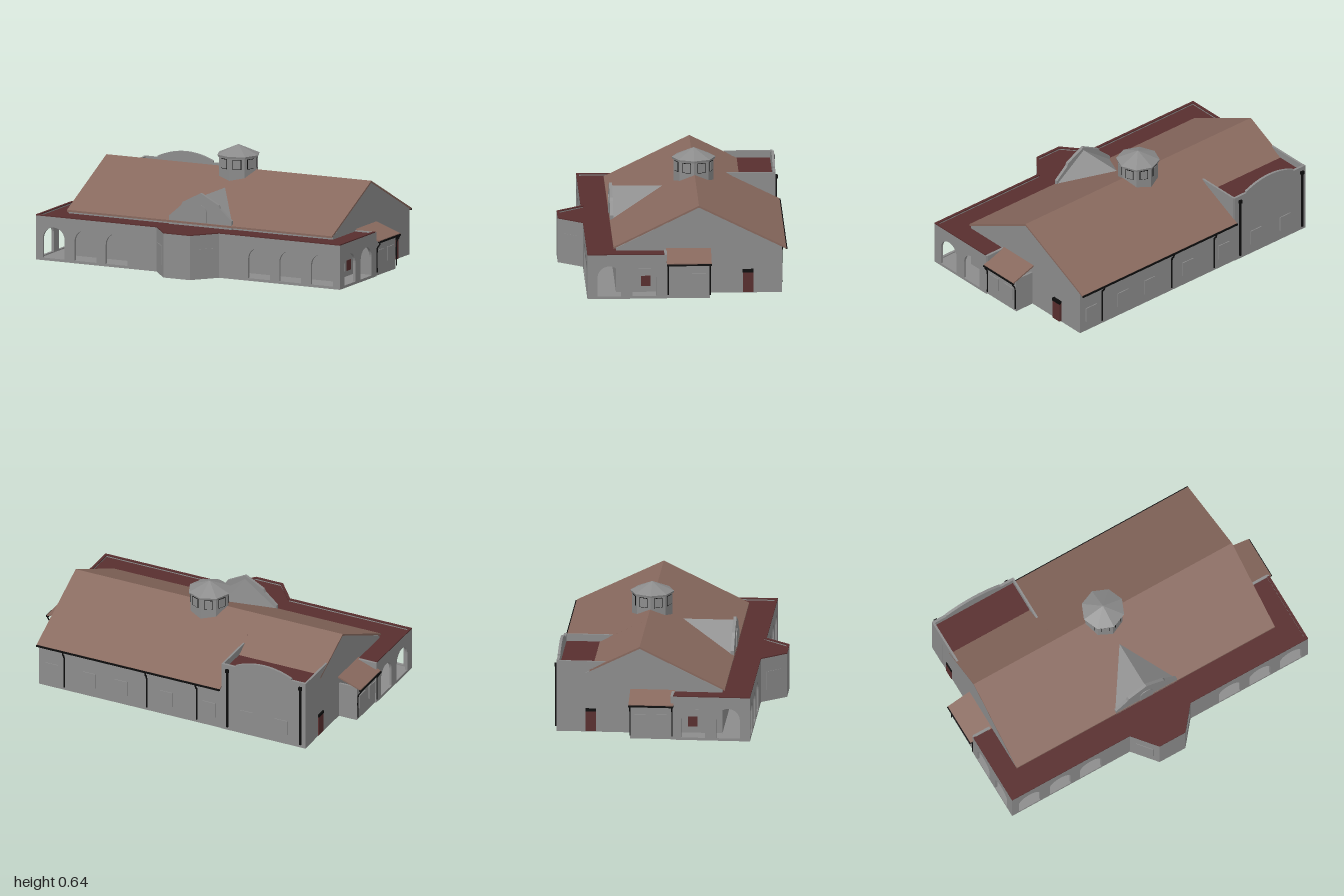
import * as THREE from 'three';

export function createModel() {
  const model = new THREE.Group();
  const mat = (name, color) => {
    const m = new THREE.MeshStandardMaterial({ color, side: THREE.DoubleSide });
    m.name = name;
    return m;
  };
  const grey = mat('wall grey', 0x8c8c8c);
  const brown = mat('roof brown', 0x87685d);
  const red = mat('deck red', 0x582e2e);
  const black = mat('pipe black', 0x0c0c0c);

  const add = (name, geo, material, parent = model) => {
    const mesh = new THREE.Mesh(geo, material);
    mesh.name = name;
    parent.add(mesh);
    return mesh;
  };
  // Box from its two corners
  const box = (name, m, x0, x1, y0, y1, z0, z1) => {
    const g = new THREE.BoxGeometry(x1 - x0, y1 - y0, z1 - z0);
    g.translate((x0 + x1) / 2, (y0 + y1) / 2, (z0 + z1) / 2);
    return add(name, g, m);
  };
  const poly = (pts) => new THREE.Shape(pts.map((p) => new THREE.Vector2(p[0], p[1])));
  const extrude = (shape, depth) =>
    new THREE.ExtrudeGeometry(shape, { depth, bevelEnabled: false, curveSegments: 10 });
  // Section in (x, y) pushed along z
  const alongZ = (name, m, shape, z0, z1) => add(name, extrude(shape, z1 - z0).translate(0, 0, z0), m);
  // Section in (z, y) pushed along x
  const alongX = (name, m, shape, x0, x1) =>
    add(name, extrude(shape, x1 - x0).rotateY(-Math.PI / 2).translate(x1, 0, 0), m);
  // Plan in (x, z) with its top at the given height
  const plan = (name, m, shape, top, thick) =>
    add(name, extrude(shape, thick).rotateX(Math.PI / 2).translate(0, top, 0), m);
  const arch = (c, w, y0, y1, Kind = THREE.Path) => {
    const p = new Kind();
    const r = w / 2;
    p.moveTo(c - r, y0);
    p.lineTo(c + r, y0);
    p.lineTo(c + r, y1 - r);
    p.absarc(c, y1 - r, r, 0, Math.PI, false);
    p.lineTo(c - r, y0);
    return p;
  };
  const rect = (a, b, c, d) => [[a, c], [b, c], [b, d], [a, d]];

  // Arcaded gallery: floor, front walls, arched ends
  box('galleryFloor', grey, -0.975, 0.975, 0, 0.008, 0.06, 0.5);
  for (const s of [-1, 1]) {
    const front = poly(rect(Math.min(s * 0.2, s * 0.975), Math.max(s * 0.2, s * 0.975), 0, 0.256));
    for (const c of [0.457, 0.657, 0.86]) front.holes.push(arch(s * c, 0.14, 0.015, 0.195));
    alongZ('galleryFrontWall', grey, front, 0.485, 0.5);

    const side = poly(rect(0.05, 0.5, 0, 0.256));
    for (const c of [0.375, 0.175]) side.holes.push(arch(c, 0.135, 0.015, 0.19));
    const x = s > 0 ? 0.96 : -0.975;
    alongX('galleryEndWall', grey, side, x, x + 0.015);
    box('galleryReturnWall', grey, s > 0 ? 0.84 : -0.97, s > 0 ? 0.97 : -0.84, 0, 0.256, 0.045, 0.06);
  }

  // Projecting bay with canted sides
  const bay = (t) => [[-0.2, 0.5], [-0.085, 0.64], [0.085, 0.64], [0.2, 0.5],
    [0.2 - t, 0.5], [0.085 - t / 2, 0.64 - t], [t / 2 - 0.085, 0.64 - t], [t - 0.2, 0.5]];
  plan('bayWalls', grey, poly(bay(0.015)), 0.256, 0.256);
  for (const s of [-1, 1]) {
    const w = add('bayWindow', new THREE.BoxGeometry(0.105, 0.11, 0.006), grey);
    w.position.set(s * 0.1425, 0.12, 0.57);
    w.rotation.y = s * Math.atan2(0.14, 0.115);
  }

  // Gallery deck and its low parapet cap
  const outline = (i) => [[-0.975 + i, 0.06], [-0.975 + i, 0.5 - i], [-0.2 + i / 2, 0.5 - i], [-0.085 + i / 2, 0.64 - i],
    [0.085 - i / 2, 0.64 - i], [0.2 - i / 2, 0.5 - i], [0.975 - i, 0.5 - i], [0.975 - i, 0.06]];
  plan('galleryDeck', red, poly(outline(0.006)), 0.25, 0.008);
  const rim = [...outline(0), ...outline(0.015).reverse()];
  plan('galleryParapetCap', red, poly(rim), 0.262, 0.006);

  // Main hall walls
  box('hallFrontWall', grey, -0.85, 0.84, 0, 0.262, 0.32, 0.333);
  box('hallBackWall', grey, -0.33, 0.84, 0, 0.262, -0.612, -0.6);
  const gable = [[0.333, 0], [0.333, 0.264], [-0.14, 0.5], [-0.612, 0.268], [-0.612, 0]];
  alongX('rightGable', grey, poly(gable), -0.853, -0.84);
  alongX('leftGable', grey, poly(gable), 0.83, 0.843);

  // Pitched roof, cut short where the rear annex meets it
  const slope = (z, y) => poly([[-0.14, 0.51], [z, y], [z, y - 0.011], [-0.14, 0.499]]);
  alongX('frontRoof', brown, slope(0.347, 0.272), -0.855, 0.845);
  alongX('backRoof', brown, slope(-0.637, 0.266), -0.32, 0.845);
  alongX('annexSideRoof', brown, slope(-0.425, 0.369), -0.855, -0.32);

  // Rear annex with curved parapet
  const back = new THREE.Shape();
  back.moveTo(-0.855, 0);
  back.lineTo(-0.32, 0);
  back.lineTo(-0.32, 0.42);
  back.lineTo(-0.41, 0.42);
  back.lineTo(-0.41, 0.43);
  back.quadraticCurveTo(-0.5875, 0.51, -0.765, 0.43);
  back.lineTo(-0.765, 0.42);
  back.lineTo(-0.855, 0.42);
  alongZ('annexBackWall', grey, back, -0.615, -0.6);
  const annexSide = [[-0.605, 0], [-0.605, 0.418], [-0.335, 0.418], [-0.5, 0.32], [-0.5, 0]];
  for (const x of [-0.855, -0.33]) alongX('annexSideWall', grey, poly(annexSide), x, x + 0.012);
  box('annexDeck', red, -0.845, -0.328, 0.37, 0.377, -0.602, -0.41);

  // Stepped front gable with its arched window and roof
  const stepped = [[-0.2, 0.25], [0.2, 0.25], [0.2, 0.3], [0.125, 0.365], [0.115, 0.385],
    [0, 0.445], [-0.115, 0.385], [-0.125, 0.365], [-0.2, 0.3]];
  alongZ('gableFront', grey, poly(stepped), 0.327, 0.345);
  alongZ('gableWindow', grey, arch(0, 0.08, 0.275, 0.375, THREE.Shape), 0.345, 0.35);
  const dormer = new THREE.BufferGeometry();
  dormer.setAttribute('position', new THREE.Float32BufferAttribute([
    0, 0.425, 0.335, 0.2, 0.278, 0.335, 0, 0.425, 0.04,
    0, 0.425, 0.335, 0, 0.425, 0.04, -0.2, 0.278, 0.335], 3));
  dormer.computeVertexNormals();
  add('gableRoof', dormer, grey);

  // Eight-sided cupola
  const cupola = new THREE.Group();
  cupola.name = 'cupola';
  cupola.position.set(-0.006, 0, -0.137);
  model.add(cupola);
  const ring = (name, rTop, rBottom, y0, y1) => {
    const g = new THREE.CylinderGeometry(rTop, rBottom, y1 - y0, 8).toNonIndexed();
    g.computeVertexNormals();
    add(name, g.translate(0, (y0 + y1) / 2, 0), grey, cupola);
  };
  ring('cupolaBody', 0.115, 0.115, 0.44, 0.58);
  ring('cupolaEave', 0.125, 0.122, 0.58, 0.592);
  ring('cupolaRoof', 0.004, 0.125, 0.592, 0.645);
  for (let i = 0; i < 8; i++) {
    const pane = new THREE.Group();
    pane.name = 'cupolaWindow';
    pane.rotation.y = (i + 0.5) * Math.PI / 4;
    cupola.add(pane);
    add('windowFrame', new THREE.BoxGeometry(0.05, 0.058, 0.004).translate(0, 0.546, 0.107), black, pane);
    add('windowPane', new THREE.BoxGeometry(0.044, 0.052, 0.004).translate(0, 0.546, 0.1085), grey, pane);
  }

  // Side porches with lean-to roofs, gutters and pipes
  for (const s of [-1, 1]) {
    const c = s > 0 ? -0.08 : -0.065;
    const sx = (name, m, x0, x1, ...r) => box(name, m, Math.min(s * x0, s * x1), Math.max(s * x0, s * x1), ...r);
    sx('porchWall', grey, 0.955, 0.967, 0, 0.212, c - 0.12, c + 0.125);
    for (const e of [-0.12, 0.113]) sx('porchEndWall', grey, 0.84, 0.96, 0, 0.212, c + e, c + e + 0.012);
    for (const w of [0.07, -0.055]) sx('porchWindow', grey, 0.967, 0.972, 0.065, 0.145, c + w - 0.04, c + w + 0.04);
    alongZ('porchRoof', brown, poly([[s * 0.84, 0.264], [s * 0.995, 0.208], [s * 0.995, 0.2], [s * 0.84, 0.254]]),
      c - 0.128, c + 0.128);
    sx('porchGutter', black, 0.986, 1, 0.194, 0.204, c - 0.128, c + 0.128);
    for (const e of [-0.12, 0.12]) {
      const path = new THREE.CatmullRomCurve3([[0.993, 0.198], [0.99, 0.18], [0.977, 0.165], [0.975, 0.14], [0.975, 0.02]]
        .map(([x, y]) => new THREE.Vector3(s * x, y, c + e)));
      add('porchPipe', new THREE.TubeGeometry(path, 12, 0.004, 6), black);
    }
    // Hall side door and the window behind the arch
    sx('sideDoor', red, 0.843, 0.858, 0.005, 0.125, -0.45, -0.39);
    sx('sideDoorHead', black, 0.843, 0.859, 0.12, 0.138, -0.45, -0.388);
    sx('sideWindow', grey, 0.843, 0.856, 0.045, 0.145, 0.135, 0.205);
    sx('sideWindowShade', red, 0.843, 0.858, 0.045, 0.105, 0.138, 0.19);
  }

  // Rear gutter, downpipes and windows
  box('rearGutter', black, -0.32, 0.845, 0.254, 0.264, -0.643, -0.633);
  for (const x of [0.68, 0.155, -0.165]) {
    const path = new THREE.CatmullRomCurve3([[0.255, -0.638], [0.235, -0.632], [0.22, -0.619], [0.19, -0.617], [0.02, -0.617]]
      .map(([y, z]) => new THREE.Vector3(x, y, z)));
    add('rearPipe', new THREE.TubeGeometry(path, 12, 0.005, 6), black);
  }
  for (const x of [-0.36, -0.825]) {
    box('annexPipe', black, x - 0.005, x + 0.005, 0.02, 0.38, -0.624, -0.614);
    box('annexPipeHead', black, x - 0.01, x + 0.01, 0.375, 0.395, -0.628, -0.614);
  }
  for (const x of [0.76, 0.52, 0.32, 0.03, -0.24]) box('rearWindow', grey, x - 0.04, x + 0.04, 0.06, 0.15, -0.617, -0.611);
  for (const x of [-0.48, -0.7]) box('annexWindow', grey, x - 0.04, x + 0.04, 0.06, 0.15, -0.62, -0.614);

  return model;
}
